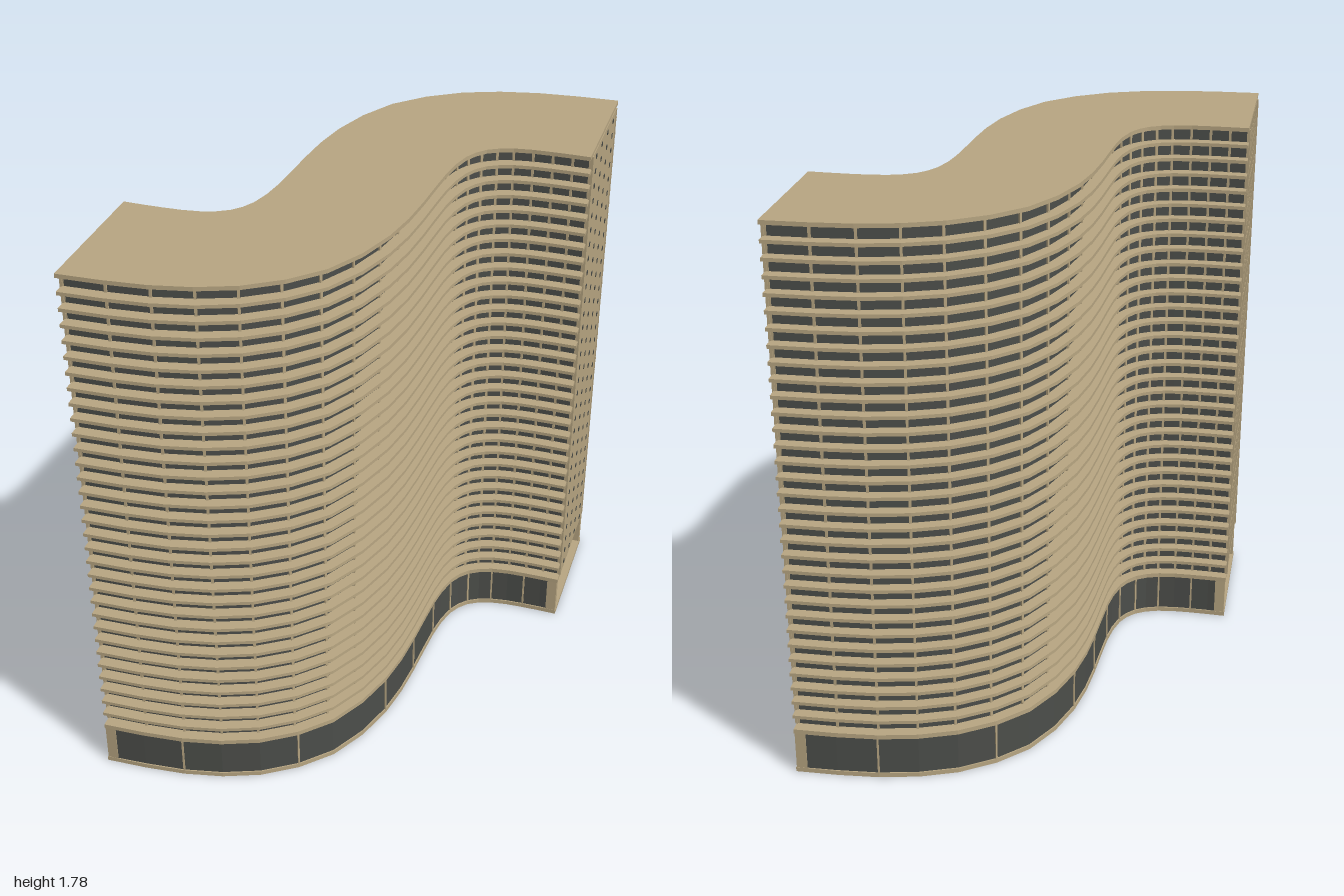
import * as THREE from 'three';
import { mergeGeometries } from 'three/addons/utils/BufferGeometryUtils.js';

const stone = new THREE.MeshStandardMaterial({ name: 'sandstone', color: 0xb8a682 });
const glass = new THREE.MeshStandardMaterial({ name: 'dark glass', color: 0x4c4e4a });

const FLOORS = 32, PITCH = 0.0508, BASE_TOP = 0.155, SLAB = 0.011, TOP = 1.785;
const SEGMENTS = 22, INSET = 0.036;

// S-shaped front edge in plan (x, z); the back edge is its half-turn copy
const edge = new THREE.CatmullRomCurve3([
  [-1, 0.168], [-0.8, 0.335], [-0.58, 0.447], [-0.33, 0.464], [-0.09, 0.36], [0.09, 0.215],
  [0.24, 0.075], [0.35, -0.003], [0.43, -0.02], [0.51, 0.008], [0.6, 0.08], [0.687, 0.165],
].map(([x, z]) => new THREE.Vector3(x, 0, z))).getPoints(SEGMENTS);

// Direction along the end walls (front to back) and their outward normal
const endDir = new THREE.Vector3(1 - 0.687, 0, -0.168 - 0.165).normalize();
const endNormal = new THREE.Vector3(-endDir.z, 0, endDir.x);
const endMid = new THREE.Vector3((1 + 0.687) / 2, 0, (0.165 - 0.168) / 2);
const endAngle = Math.atan2(endNormal.x, endNormal.z);

// Inward normal of the front edge at point i
function inward(i) {
  const a = edge[Math.max(i - 1, 0)], b = edge[Math.min(i + 1, SEGMENTS)];
  const t = b.clone().sub(a).normalize();
  return new THREE.Vector3(t.z, 0, -t.x);
}

// Front edge moved in by d, with both ends pulled back by e
function insetEdge(d, e = 0) {
  return edge.map((p, i) => {
    const q = p.clone();
    if (i > 0 && i < SEGMENTS) return q.addScaledVector(inward(i), d);
    return q.addScaledVector(endDir, d).addScaledVector(endNormal, i === 0 ? e : -e);
  });
}

// Solid S-shaped plate between two heights
function plate(y0, y1, d, e) {
  const front = insetEdge(d, e);
  const ring = [...front, ...front.map((p) => new THREE.Vector3(-p.x, 0, -p.z))];
  const shape = new THREE.Shape(ring.map((p) => new THREE.Vector2(p.x, -p.z)));
  const geo = new THREE.ExtrudeGeometry(shape, { depth: y1 - y0, bevelEnabled: false });
  return geo.rotateX(-Math.PI / 2).translate(0, y0, 0);
}

function box(w, h, d, x, y, z) {
  return new THREE.BoxGeometry(w, h, d).translate(x, y, z);
}

function mesh(name, geos, material) {
  const m = new THREE.Mesh(Array.isArray(geos) ? mergeGeometries(geos) : geos, material);
  m.name = name;
  return m;
}

// Upright bars standing on the front edge at the given points
function mullions(points, indices, y0, y1, w, d) {
  return indices.map((i) => {
    const n = inward(i), p = points[i];
    return box(w, y1 - y0, d, 0, (y0 + y1) / 2, 0)
      .rotateY(Math.atan2(-n.x, -n.z)).translate(p.x, 0, p.z);
  });
}

// Group whose local +z looks out of the right end wall, turned for the left
function endGroup(name, left) {
  const g = new THREE.Group();
  g.name = name;
  g.position.copy(endMid).multiplyScalar(left ? -1 : 1);
  g.rotation.y = endAngle + (left ? Math.PI : 0);
  return g;
}

export function createModel() {
  const model = new THREE.Group();
  model.name = 'curvedTower';

  // Ground floor
  model.add(mesh('groundSlab', plate(0, 0.015, 0, 0), stone));
  model.add(mesh('groundFloorGlass', plate(0.015, 0.14, 0.004, 0.035), glass));
  model.add(mesh('podiumSlab', plate(0.14, BASE_TOP, 0, 0), stone));

  // Tower glass and projecting floor slabs
  model.add(mesh('towerGlass', plate(BASE_TOP, TOP - 0.012, INSET, 0.006), glass));
  const slabs = [];
  for (let i = 1; i < FLOORS; i++) {
    const y = BASE_TOP - SLAB + i * PITCH;
    slabs.push(plate(y, y + SLAB, 0, 0));
  }
  model.add(mesh('floorSlabs', slabs, stone));
  model.add(mesh('roofSlab', plate(TOP - 0.013, TOP, 0, 0), stone));

  // Facade mullions, front and back
  const all = edge.map((_, i) => i);
  const upper = mullions(insetEdge(INSET), all, BASE_TOP, TOP - 0.013, 0.008, 0.01);
  const lower = mullions(insetEdge(0.004), [2, 5, 8, 10, 12, 14, 16, 18, 20], 0.015, 0.14, 0.006, 0.008);
  for (const side of ['front', 'back']) {
    const m = mesh(side + 'Mullions', [...upper, ...lower], stone);
    if (side === 'back') m.rotation.y = Math.PI;
    model.add(m);
  }

  // Recessed ground floor ends with corner fins
  const half = 0.228, towerHeight = TOP - 0.013 - BASE_TOP, towerMid = BASE_TOP + towerHeight / 2;
  const right = endGroup('rightEnd', false), left = endGroup('leftEnd', true);
  for (const end of [right, left]) {
    const bars = [];
    for (const s of [-1, 1]) bars.push(box(0.024, 0.125, 0.034, s * (half - 0.013), 0.0775, -0.019));
    for (let i = 0; i < 7; i++) bars.push(box(0.006, 0.125, 0.006, (i - 3) * 0.058, 0.0775, -0.034));
    end.add(mesh('entranceFrame', bars, stone));
  }

  // Right end: solid wall with small windows
  const width = 2 * (half - INSET) + 0.004;
  right.add(mesh('endWall', box(width, towerHeight, 0.012, 0, towerMid, -0.004), stone));
  const windows = [];
  for (let f = 0; f < FLOORS; f++) {
    for (let c = 0; c < 4; c++) {
      windows.push(box(0.012, 0.014, 0.003, (c - 1.5) * 0.093, BASE_TOP + (f + 0.42) * PITCH, 0.0025));
    }
  }
  right.add(mesh('smallWindows', windows, glass));

  // Left end: glazed wall with a grid of bars
  const grid = [];
  for (let c = 0; c <= 8; c++) {
    grid.push(box(0.008, towerHeight, 0.008, (c / 8 - 0.5) * (width - 0.008), towerMid, -0.003));
  }
  left.add(mesh('endWindowGrid', grid, stone));

  model.add(right, left);
  return model;
}
